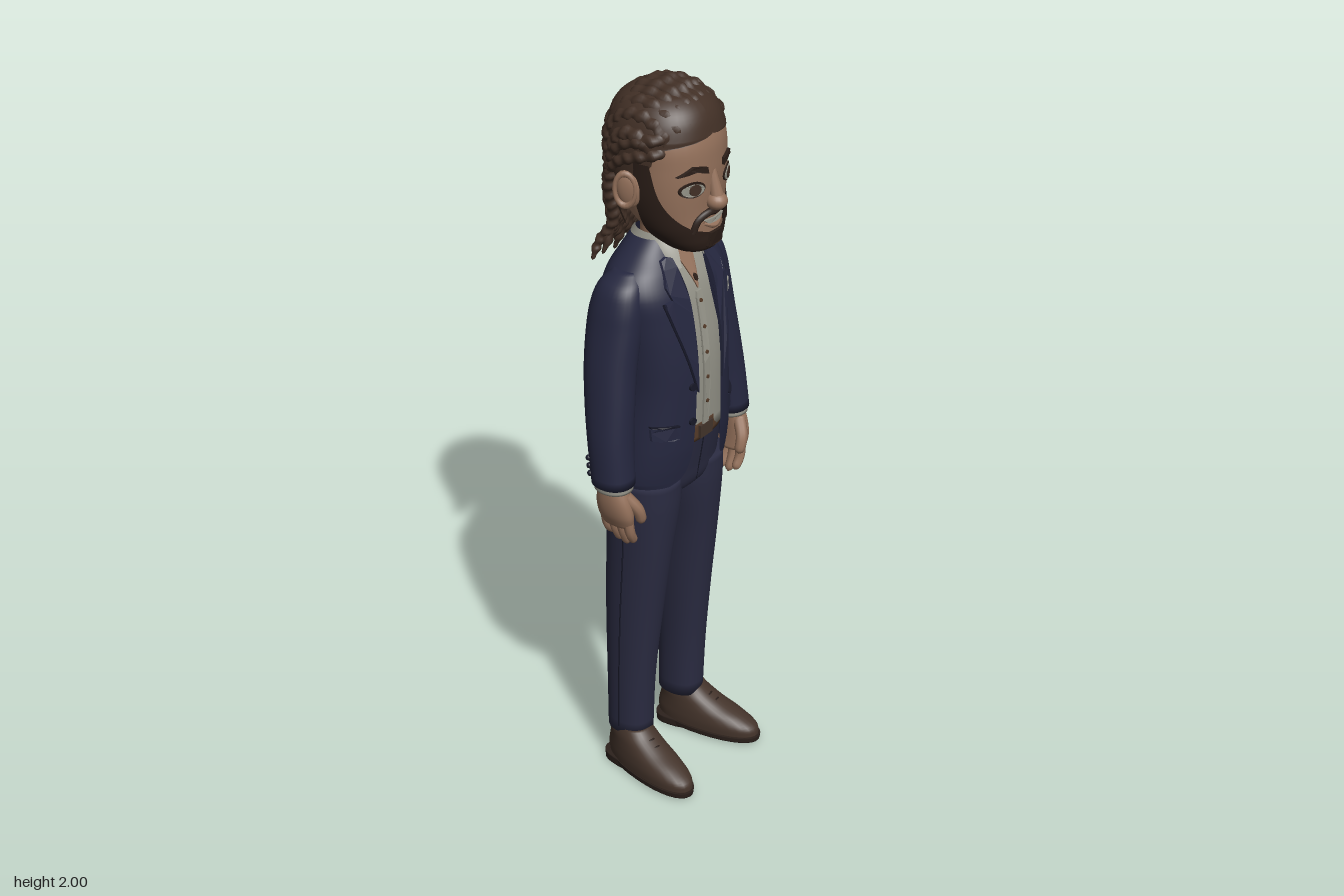
import * as THREE from 'three';
import { mergeVertices } from 'three/addons/utils/BufferGeometryUtils.js';

const V = (x, y, z) => new THREE.Vector3(x, y, z);
const material = (name, color) => new THREE.MeshStandardMaterial({ name, color, side: THREE.DoubleSide });

// Smoothly subdivides section rows [y, cx, cz, rx, rz, a0, a1]
function densify(rows, steps = 5) {
  const out = [];
  for (let i = 0; i < rows.length - 1; i++) {
    const p0 = rows[Math.max(i - 1, 0)], p1 = rows[i], p2 = rows[i + 1], p3 = rows[Math.min(i + 2, rows.length - 1)];
    const slope = (a, b, c) => (c[0] === a[0] ? null : b.map((_, k) => (c[k] - a[k]) / (c[0] - a[0])));
    const m1 = slope(p0, p1, p2), m2 = slope(p1, p2, p3), h = p2[0] - p1[0];
    for (let s = 0; s < steps; s++) {
      const t = s / steps, u = t * t * (3 - 2 * t);
      out.push(p1.map((v, k) => v * (1 - u) + p2[k] * u +
        h * ((t ** 3 - 2 * t * t + t) * m1[k] + (t ** 3 - t * t) * m2[k])));
    }
  }
  out.push(rows[rows.length - 1]);
  return out;
}

// Horizontal superellipse sections joined into a skin; angle 0 faces the front
function loft(rows, { n = 2.2, seg = 32, caps = true } = {}) {
  const d = densify(rows);
  if (caps) {
    const flat = r => r.map((v, k) => (k === 3 || k === 4 ? 0.0005 : v));
    d.unshift(flat(d[0]));
    d.push(flat(d[d.length - 1]));
  }
  const pos = [], idx = [], w = seg + 1, pow = v => Math.sign(v) * Math.abs(v) ** (2 / n);
  d.forEach(([y, cx, cz, rx, rz, a0 = -Math.PI, a1 = Math.PI], i) => {
    for (let j = 0; j <= seg; j++) {
      const a = a0 + (a1 - a0) * j / seg;
      pos.push(cx + rx * pow(Math.sin(a)), y, cz + rz * pow(Math.cos(a)));
      if (i && j) {
        const q = i * w + j, p = q - w;
        idx.push(p - 1, p, q, p - 1, q, q - 1);
      }
    }
  });
  let g = new THREE.BufferGeometry();
  g.setAttribute('position', new THREE.Float32BufferAttribute(pos, 3));
  g.setIndex(idx);
  g = mergeVertices(g, 1e-5);
  g.computeVertexNormals();
  return g;
}

// Front depth of a lofted body at x, y
function frontZ(rows, x, y, n) {
  const d = densify(rows);
  let i = 0;
  while (i < d.length - 2 && d[i + 1][0] < y) i++;
  const t = THREE.MathUtils.clamp((y - d[i][0]) / (d[i + 1][0] - d[i][0]), 0, 1);
  const [cz, rx, rz] = [2, 3, 4].map(k => d[i][k] * (1 - t) + d[i + 1][k] * t);
  return cz + rz * Math.max(0, 1 - Math.min(1, Math.abs(x / rx)) ** n) ** (1 / n);
}

// Thin plate laid over the front of a lofted body
function drape(points, rows, n, off = 0, depth = 0.006) {
  const shape = new THREE.Shape(points.map(p => new THREE.Vector2(...p)));
  const fine = new THREE.Shape(shape.closePath().getSpacedPoints(40).slice(0, -1));
  const g = new THREE.ExtrudeGeometry(fine, { depth, bevelEnabled: false }), p = g.attributes.position;
  for (let i = 0; i < p.count; i++) p.setZ(i, p.getZ(i) + off + frontZ(rows, p.getX(i), p.getY(i), n));
  g.computeVertexNormals();
  return g;
}

const oval = (cx, cy, rx, ry) => Array.from({ length: 20 }, (_, i) =>
  [cx + rx * Math.cos(i * Math.PI / 10), cy + ry * Math.sin(i * Math.PI / 10)]);

const tube = (pts, r, seg = 16, sides = 8) =>
  new THREE.TubeGeometry(new THREE.CatmullRomCurve3(pts.map(p => V(...p))), seg, r, sides);

// Tube whose radius follows a rule r(t, angle)
function shapedTube(pts, rule, seg, sides = 10) {
  const curve = new THREE.CatmullRomCurve3(pts.map(p => V(...p)));
  const g = new THREE.TubeGeometry(curve, seg, 1, sides), p = g.attributes.position, v = V(0, 0, 0);
  for (let i = 0; i < p.count; i++) {
    const t = Math.floor(i / (sides + 1)) / seg, c = curve.getPointAt(t);
    v.fromBufferAttribute(p, i).sub(c).multiplyScalar(rule(t, (i % (sides + 1)) / sides * 2 * Math.PI)).add(c);
    p.setXYZ(i, v.x, v.y, v.z);
  }
  g.computeVertexNormals();
  return g;
}
const finger = (pts, r) => shapedTube(pts, t => r * (1 - 0.2 * t) * Math.sqrt(Math.max(0, 1 - Math.max(0, (t - 0.8) / 0.2) ** 2)), 16);

export function createModel() {
  const root = new THREE.Group();
  const navy = material('navy jacket', 0x25273f), trouser = material('navy trousers', 0x2a2b41);
  const linen = material('grey linen', 0x96958a), skin = material('skin', 0x94715b);
  const hair = material('brown hair', 0x423026), beard = material('dark beard', 0x2b1e18);
  const leather = material('shoe leather', 0x44342b), sole = material('sole', 0x2c211c);
  const belt = material('belt leather', 0x553b29), seam = material('seam', 0x171827);
  const add = (name, g, m) => {
    const mesh = new THREE.Mesh(g, m);
    mesh.name = name;
    root.add(mesh);
    return mesh;
  };
  const ball = (name, m, at, size) => {
    const b = add(name, new THREE.SphereGeometry(1, 20, 14), m);
    b.position.set(...at);
    b.scale.set(...size);
    return b;
  };

  // Jacket body, open at the front with a rounded cutaway
  const N = 2.4;
  const jacket = [
    [0.935, 0.182, -0.035, 0.128, 0.115], [0.95, 0.186, -0.035, 0.13, 0.085], [0.99, 0.185, -0.03, 0.132, 0.064],
    [1.05, 0.18, -0.025, 0.134, 0.056], [1.2, 0.165, -0.015, 0.128, 0.05], [1.3, 0.169, -0.02, 0.129, 0.05],
    [1.4, 0.18, -0.03, 0.125, 0.052], [1.47, 0.186, -0.035, 0.115, 0.054], [1.52, 0.165, -0.04, 0.097, 0.055],
    [1.56, 0.12, -0.044, 0.076, 0.055], [1.595, 0.078, -0.045, 0.06, 0.05],
  ].map(([y, rx, cz, rz, gap]) => {
    const a = Math.asin((gap / rx) ** (N / 2));
    return [y, 0, cz, rx, rz, a, 2 * Math.PI - a];
  });
  add('jacket', loft(jacket, { n: N, seg: 56, caps: false }), navy);
  const shirt = jacket.slice(3, 10).map(r => [r[0], 0, r[2], r[3] - 0.012, r[4] - 0.012]);
  add('shirt', loft(shirt, { n: N }), linen);
  add('openNeck', drape([[-0.036, 1.57], [0.036, 1.57], [0, 1.46]], shirt, N, 0.001, 0.004), skin);
  add('placket', drape([[-0.012, 1.08], [0.012, 1.08], [0.012, 1.455], [-0.012, 1.455]], shirt, N, 0, 0.005), linen);
  for (let i = 0; i < 5; i++) add('shirtButton', drape(oval(0, 1.15 + i * 0.07, 0.005, 0.005), shirt, N, 0.005, 0.003), belt);
  add('pendant', drape(oval(0, 1.49, 0.006, 0.009), shirt, N, 0.005, 0.004), beard);
  for (const y of [1.12, 1.22]) add('jacketButton', drape(oval(-0.066, y, 0.01, 0.01), jacket, N, 0.001), seam);
  add('pocketSquare', drape([[0.113, 1.405], [0.15, 1.41], [0.147, 1.428], [0.135, 1.425], [0.128, 1.434], [0.113, 1.424]], jacket, N, 0.001), linen);
  add('backSeam', tube(jacket.slice(0, 9).map(r => [0, r[0], r[2] - r[4] + 0.001]), 0.0022, 40, 6), seam);

  // Belt and hips
  const hips = [[0.855, 0, -0.03, 0.07, 0.05], [0.89, 0, -0.03, 0.15, 0.092], [0.95, 0, -0.028, 0.17, 0.104], [1.06, 0, -0.022, 0.158, 0.116]];
  add('hips', loft(hips), trouser);
  add('fly', tube([0.9, 0.95, 1.0, 1.04].map(y => [0.006, y, frontZ(hips, 0.006, y, 2.2)]), 0.002, 12, 6), seam);
  add('belt', loft([[1.042, 0, -0.022, 0.16, 0.121], [1.09, 0, -0.022, 0.16, 0.121]]), belt);
  const buckle = add('buckle', new THREE.BoxGeometry(0.05, 0.036, 0.01), leather);
  buckle.position.set(0, 1.066, 0.1);

  // Head and neck
  const head = [
    [1.587, 0, 0.062, 0.05, 0.045], [1.605, 0, 0.05, 0.075, 0.066], [1.64, 0, 0.025, 0.103, 0.093], [1.69, 0, 0.002, 0.124, 0.116],
    [1.75, 0, -0.012, 0.135, 0.134], [1.81, 0, -0.017, 0.137, 0.14], [1.88, 0, -0.022, 0.134, 0.138], [1.94, 0, -0.025, 0.105, 0.11], [1.97, 0, -0.025, 0.06, 0.06],
  ];
  add('head', loft(head), skin);
  add('neck', loft([[1.5, 0, -0.04, 0.068, 0.06], [1.58, 0, -0.037, 0.058, 0.052], [1.68, 0, -0.03, 0.06, 0.06]]), skin);
  const face = (x, y, off = 0) => [x, y, frontZ(head, x, y, 2.2) + off];
  ball('nose', skin, [0, 1.718, 0.128], [0.027, 0.023, 0.029]);
  add('noseBridge', shapedTube([[0, 1.80, 0.112], [0, 1.76, 0.122], [0, 1.72, 0.132]], t => 0.011 + 0.008 * t, 10), skin);
  add('moustache', shapedTube([face(-0.062, 1.645), face(-0.048, 1.678), face(-0.02, 1.692, 0.004), face(0, 1.689, 0.004),
    face(0.02, 1.692, 0.004), face(0.048, 1.678), face(0.062, 1.645)], () => 0.0095, 30), beard);
  add('teeth', drape([[-0.038, 1.675], [0, 1.672], [0.038, 1.675], [0.02, 1.66], [0, 1.657], [-0.02, 1.66]], head, 2.2, 0.002), linen);
  add('lowerLip', shapedTube([face(-0.034, 1.664, 0.003), face(0, 1.652, 0.005), face(0.034, 1.664, 0.003)],
    t => 0.003 + 0.005 * Math.sin(Math.PI * t), 14), skin);
  add('chinTuft', drape([[-0.022, 1.638], [0.022, 1.638], [0.03, 1.6], [-0.03, 1.6]], head, 2.2, 0.005, 0.009), beard);

  // Scalp and plaited braids running from the brow to the back
  const P = Math.PI;
  add('scalp', loft([[1.62, 1.95, 0.085, -0.055, 0.075], [1.7, 1.95, 0.124, -0.035, 0.118], [1.78, 1.8, 0.14, -0.024, 0.137],
    [1.82, 1.25, 0.142, -0.023, 0.141], [1.87, 1.0, 0.14, -0.024, 0.141], [1.89, 0.02, 0.137, -0.024, 0.14],
    [1.94, 0, 0.116, -0.025, 0.122], [1.972, 0, 0.08, -0.026, 0.085], [1.985, 0, 0.03, -0.026, 0.035],
  ].map(([y, a, rx, cz, rz]) => [y, 0, cz, rx, rz, a, 2 * P - a]), { seg: 44, caps: false }), hair);
  for (let i = 0; i < 11; i++) {
    const u = (i - 5) / 5, k = Math.sqrt(1 - 0.8 * u * u), pts = [];
    for (let j = 0; j <= 9; j++) {
      const t = 0.4 + j * (P - 0.3) / 9, s = Math.sin(t);
      pts.push([0.133 * u * (0.93 + 0.07 * s), 1.83 + 0.153 * k * s, -0.025 + 0.136 * k * Math.cos(t)]);
    }
    const end = 1.5 + 0.03 * (i % 2) + 0.02 * Math.abs(u);
    pts.push([0.118 * u, 1.73, -0.14 + 0.035 * u * u], [0.1 * u, 1.63, -0.132 + 0.02 * u * u],
      [0.112 * u, 1.565, -0.148], [0.13 * u, end, -0.17 + 0.015 * u * u]);
    add('braid', shapedTube(pts, (t, a) => {
      const tip = Math.sqrt(Math.max(0, Math.min(1, t / 0.04, (1 - t) / 0.06)));
      return 0.018 * (1 - 0.45 * Math.max(0, (t - 0.55) / 0.45)) * tip * (1 + 0.16 * Math.sin(t * 2 * P * 17 + 2.2 * Math.abs(Math.sin(a))));
    }, 130), hair);
  }
  // Lower rows on the sides, swept back over the ears
  for (const s of [-1, 1]) for (const r of [0, 1]) {
    add('sideBraid', shapedTube([[s * 0.112, 1.9 - r * 0.035, 0.062], [s * 0.136, 1.888 - r * 0.038, 0.01], [s * 0.138, 1.86 - r * 0.04, -0.06],
      [s * 0.122, 1.79 - r * 0.02, -0.105], [s * 0.1, 1.7, -0.13], [s * 0.1, 1.6, -0.12], [s * 0.118, 1.54 + r * 0.02, -0.13 - r * 0.015]],
    (t, a) => 0.016 * (1 - 0.5 * t) * Math.sqrt(Math.min(1, t / 0.04, (1 - t) / 0.06)) * (1 + 0.16 * Math.sin(t * 2 * P * 13 + 2.2 * Math.abs(Math.sin(a)))), 100), hair);
  }

  for (const s of [-1, 1]) {
    const flip = pts => pts.map(([x, ...r]) => [s * x, ...r]);
    const limb = rows => rows.map(([y, cx, ...r]) => [y, s * cx, ...r]);
    const span = (a, b) => (s > 0 ? [a, b] : [-b, -a]);

    // Face details and jaw beard
    add('eyeRim', drape(oval(s * 0.068, 1.765, 0.031, 0.021), head, 2.2, 0, 0.004), beard);
    add('eyeWhite', drape(oval(s * 0.068, 1.764, 0.027, 0.016), head, 2.2, 0.002, 0.004), linen);
    add('iris', drape(oval(s * 0.066, 1.765, 0.014, 0.015), head, 2.2, 0.004, 0.004), hair);
    add('brow', drape(flip([[0.03, 1.8], [0.065, 1.812], [0.105, 1.802], [0.07, 1.826], [0.033, 1.818]]), head, 2.2, 0, 0.008), beard);
    add('jawBeard', loft([[1.58, 0.06, 0.02, 0.02, 0, 1.7], [1.585, 0.062, 0.054, 0.05, 0, 1.7], [1.605, 0.05, 0.082, 0.074, 0, 1.75],
      [1.635, 0.027, 0.107, 0.098, 0.12, 1.75], [1.66, 0.015, 0.12, 0.11, 0.6, 1.7], [1.7, -0.001, 0.132, 0.124, 0.95, 1.62],
      [1.75, -0.012, 0.14, 0.138, 1.15, 1.6], [1.83, -0.018, 0.142, 0.143, 1.28, 1.55],
    ].map(([y, cz, rx, rz, a, b]) => [y, 0, cz, rx, rz, ...span(a, b)]), { caps: false, seg: 20 }), beard);
    const ear = ball('ear', skin, [s * 0.148, 1.757, -0.024], [0.014, 0.048, 0.03]);
    ear.rotation.set(-0.15, s * -0.45, s * -0.15);
    const rim = add('earRim', new THREE.TorusGeometry(0.03, 0.007, 8, 20), skin);
    rim.position.set(s * 0.157, 1.76, -0.028);
    rim.rotation.set(0, P / 2 - s * 0.45, 0);
    rim.scale.set(0.85, 1.4, 1);

    // Collar, lapel and pocket flap
    add('shirtCollar', loft([[1.53, -0.03, 0.088, 0.1, 0.5, 0.8], [1.57, -0.038, 0.083, 0.086, 0.42, 2], [1.608, -0.038, 0.066, 0.062, 0.4, P],
    ].map(([y, cz, rx, rz, a, b]) => [y, 0, cz, rx, rz, ...span(a, b)]), { caps: false, seg: 20 }), linen);
    add('lapel', drape(flip([[0.05, 1.2], [0.078, 1.3], [0.108, 1.4], [0.125, 1.462], [0.098, 1.468], [0.112, 1.492], [0.085, 1.56], [0.056, 1.56], [0.05, 1.4]]), jacket, N, 0, 0.008), navy);
    add('lapelEdge', tube(flip([[0.052, 1.21], [0.079, 1.3], [0.109, 1.4], [0.126, 1.462]]).map(([x, y]) => [x, y, frontZ(jacket, x, y, N) + 0.003]), 0.0025, 20, 6), seam);
    add('pocketFlap', drape(flip([[0.105, 1.08], [0.16, 1.085], [0.16, 1.12], [0.105, 1.118]]), jacket, N, 0, 0.007), navy);
    add('pocketSeam', drape(flip([[0.105, 1.118], [0.16, 1.12], [0.16, 1.125], [0.105, 1.123]]), jacket, N, 0, 0.008), seam);

    // Sleeve, cuff and buttons
    add('sleeve', loft(limb([[0.987, 0.243, -0.006, 0.051, 0.056], [1.1, 0.235, -0.02, 0.053, 0.06], [1.2, 0.221, -0.032, 0.054, 0.066],
      [1.3, 0.203, -0.042, 0.056, 0.07], [1.4, 0.179, -0.046, 0.058, 0.074], [1.46, 0.163, -0.045, 0.06, 0.071],
      [1.505, 0.149, -0.043, 0.053, 0.058], [1.535, 0.13, -0.042, 0.03, 0.034]])), navy);
    add('shirtCuff', loft(limb([[0.972, 0.244, -0.004, 0.045, 0.05], [1.0, 0.244, -0.005, 0.046, 0.051]])), linen);
    for (let i = 0; i < 3; i++) ball('cuffButton', seam, [s * 0.276, 1.01 + i * 0.022, -0.054 - i * 0.002], [0.008, 0.008, 0.008]);

    // Hand
    add('palm', loft(limb([[0.865, 0.238, 0.003, 0.02, 0.046], [0.9, 0.246, 0.003, 0.026, 0.053], [0.94, 0.249, 0, 0.03, 0.05], [0.985, 0.247, -0.003, 0.032, 0.036]])), skin);
    [-0.034, -0.01, 0.014, 0.037].forEach((z, i) => add('finger',
      finger(flip([[0.242, 0.89, z], [0.235, 0.845, z + 0.003], [0.215, 0.797 + [0.022, 0.005, 0, 0.012][i], z * 0.9 + 0.004]]), 0.0148), skin));
    add('thumb', finger(flip([[0.243, 0.955, 0.03], [0.222, 0.915, 0.055], [0.207, 0.87, 0.056]]), 0.0175), skin);

    // Trouser leg
    add('trouserLeg', loft(limb([[0.12, 0.112, -0.062, 0.053, 0.063], [0.3, 0.112, -0.058, 0.055, 0.068], [0.5, 0.107, -0.05, 0.062, 0.08],
      [0.7, 0.1, -0.038, 0.07, 0.092], [0.85, 0.09, -0.03, 0.083, 0.1], [0.93, 0.088, -0.028, 0.084, 0.1]])), trouser);
    add('legSeam', tube(flip([[0.166, 0.14, -0.062], [0.168, 0.3, -0.058], [0.17, 0.5, -0.05], [0.171, 0.7, -0.038], [0.174, 0.85, -0.03]]), 0.002, 24, 6), seam);

    // Shoe, turned slightly outward
    const shoe = new THREE.Group();
    shoe.name = 'shoe';
    shoe.position.set(s * 0.128, 0, 0);
    shoe.rotation.y = s * 0.17;
    const part = (name, g, m) => { add(name, g, m); shoe.add(root.children[root.children.length - 1]); };
    part('sole', loft([[0.006, 0, 0.024, 0.056, 0.153], [0.022, 0, 0.024, 0.058, 0.155]]), sole);
    part('heel', loft([[0, 0, -0.075, 0.05, 0.056], [0.024, 0, -0.075, 0.051, 0.057]], { n: 3 }), sole);
    part('upper', loft([[0.02, 0, 0.023, 0.056, 0.152], [0.045, 0, 0.018, 0.057, 0.15], [0.068, 0, 0, 0.055, 0.128],
      [0.09, 0, -0.025, 0.052, 0.098], [0.115, 0, -0.048, 0.049, 0.073], [0.135, 0, -0.058, 0.044, 0.058]]), leather);
    for (let i = 0; i < 3; i++) part('lace', tube([[-0.022, 0.083 + i * 0.012, 0.062 - i * 0.021], [0, 0.088 + i * 0.012, 0.068 - i * 0.021], [0.022, 0.083 + i * 0.012, 0.062 - i * 0.021]], 0.004, 8, 6), sole);
    root.add(shoe);
  }
  return root;
}
